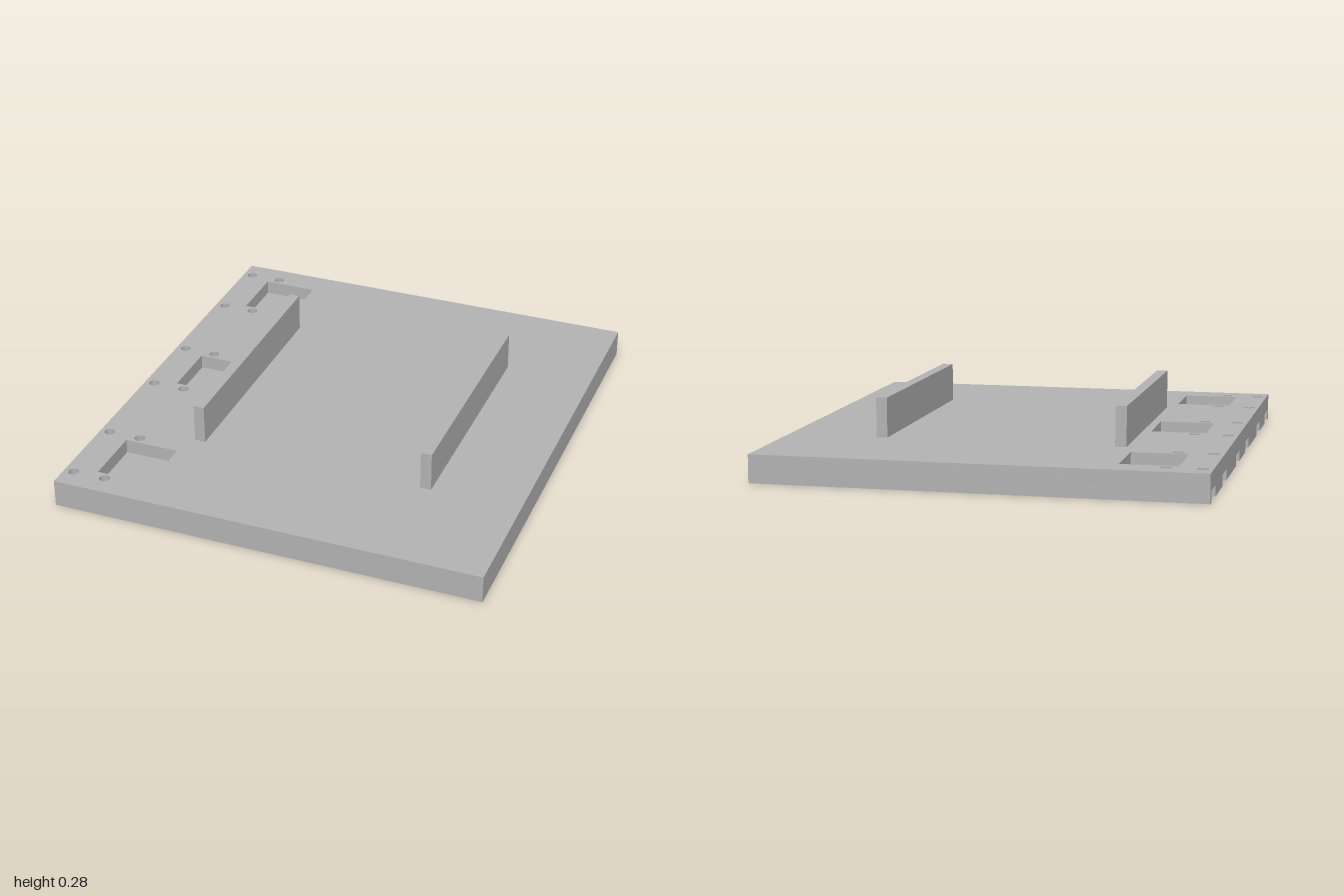
import * as THREE from 'three';

const HALF_X = 0.907, HALF_Z = 1;
const BAY_CENTRES = [-0.75, 0, 0.747];
const HOLE_X = [-0.865, -0.726];
const HOLE_R = 0.022;
const RECESS = 0.06;                       // half width of a nut recess
const RECESS_TOP = 0.045, POCKET_FLOOR = 0.055, TOP = 0.115;

// Hole rows in ascending z: one on each side of every bay
const HOLE_Z = BAY_CENTRES.flatMap((z) => [z - 0.161, z + 0.161]);

// Plan shapes use (x, -z), so extruding and tipping them back makes depth point up
function rectPoints(x0, x1, z0, z1) {
  return [[x0, -z1], [x1, -z1], [x1, -z0], [x0, -z0]].map(([x, y]) => new THREE.Vector2(x, y));
}

function addRectHole(shape, x0, x1, z0, z1) {
  shape.holes.push(new THREE.Path(rectPoints(x0, x1, z0, z1).reverse()));
}

function addScrewHoles(shape) {
  for (const x of HOLE_X) for (const z of HOLE_Z) {
    const hole = new THREE.Path();
    hole.absarc(x, -z, HOLE_R, 0, Math.PI * 2, true);
    shape.holes.push(hole);
  }
}

function layer(name, shape, y0, y1, material) {
  const geometry = new THREE.ExtrudeGeometry(shape, { depth: y1 - y0, bevelEnabled: false, curveSegments: 16 });
  geometry.rotateX(-Math.PI / 2);
  geometry.translate(0, y0, 0);
  const mesh = new THREE.Mesh(geometry, material);
  mesh.name = name;
  return mesh;
}

export function createModel() {
  const model = new THREE.Group();
  model.name = 'mountingPlate';
  const grey = new THREE.MeshStandardMaterial({ color: 0xb2b2b2 });
  grey.name = 'grey';

  // Underside layer: notches open to the edge, plus closed recesses further in
  const outline = rectPoints(-HALF_X, HALF_X, -HALF_Z, HALF_Z);
  const notchX = HOLE_X[0] + RECESS;
  for (const z of HOLE_Z) {
    const near = -(z - RECESS), far = -(z + RECESS);
    outline.push(
      new THREE.Vector2(-HALF_X, near), new THREE.Vector2(notchX, near),
      new THREE.Vector2(notchX, far), new THREE.Vector2(-HALF_X, far));
  }
  const under = new THREE.Shape(outline);
  for (const z of HOLE_Z) {
    addRectHole(under, HOLE_X[1] - RECESS, HOLE_X[1] + RECESS, z - RECESS, z + RECESS);
  }
  model.add(layer('plateUnderside', under, 0, RECESS_TOP, grey));

  // Thin core that closes the recesses and pockets, pierced by the screw holes
  const core = new THREE.Shape(rectPoints(-HALF_X, HALF_X, -HALF_Z, HALF_Z));
  addScrewHoles(core);
  model.add(layer('plateCore', core, RECESS_TOP, POCKET_FLOOR, grey));

  // Top layer with three rectangular pockets
  const upper = new THREE.Shape(rectPoints(-HALF_X, HALF_X, -HALF_Z, HALF_Z));
  addScrewHoles(upper);
  for (const z of BAY_CENTRES) addRectHole(upper, -0.772, -0.541, z - 0.128, z + 0.128);
  model.add(layer('plateTop', upper, POCKET_FLOOR, TOP, grey));

  // Two upright rails
  for (const [name, x] of [['rightRail', -0.483], ['leftRail', 0.508]]) {
    const rail = new THREE.Mesh(new THREE.BoxGeometry(0.046, 0.165, 1.034), grey);
    rail.name = name;
    rail.position.set(x, TOP + 0.0825, -0.002);
    model.add(rail);
  }
  return model;
}
